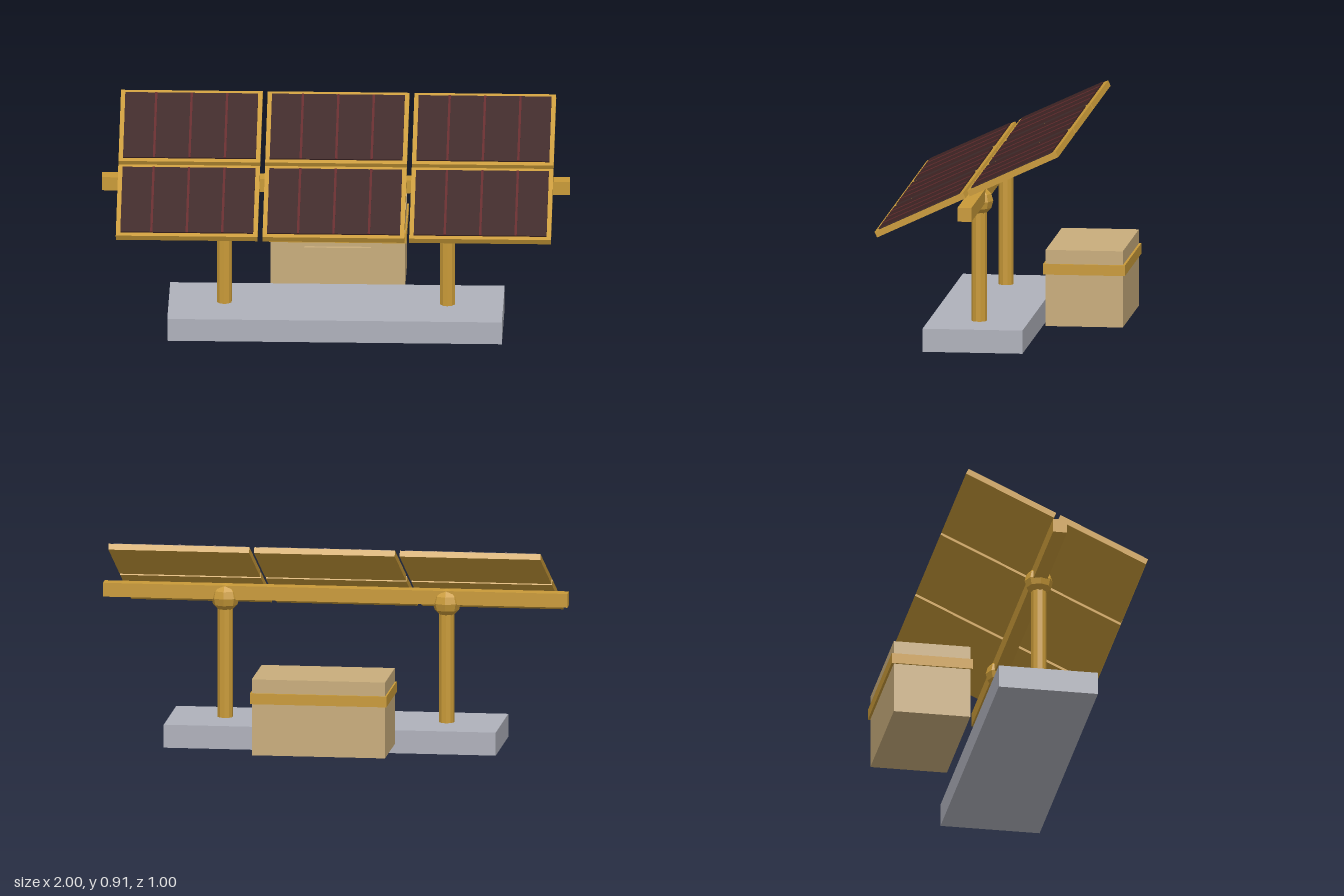
import * as THREE from 'three';

const material = (name, color, flatShading = false) => {
  const m = new THREE.MeshStandardMaterial({ color, flatShading });
  m.name = name;
  return m;
};

export function createModel() {
  const gold = material('gold metal', 0xc99a38, true);
  const tan = material('tan casing', 0xc9ad7c);
  const concrete = material('grey concrete', 0xafb1bb);
  const cell = material('dark solar cell', 0x3c2323);
  const line = material('red cell line', 0x642528);

  const model = new THREE.Group();
  model.name = 'solarArray';

  const add = (parent, name, geometry, mat, x, y, z) => {
    const mesh = new THREE.Mesh(geometry, mat);
    mesh.name = name;
    mesh.position.set(x, y, z);
    parent.add(mesh);
    return mesh;
  };
  const box = (parent, name, size, mat, x, y, z) =>
    add(parent, name, new THREE.BoxGeometry(...size), mat, x, y, z);

  const axisZ = 0.105;

  // Foundation slab and the long carrying beam
  box(model, 'foundation', [1.43, 0.1, 0.43], concrete, 0, 0.05, axisZ);
  box(model, 'beam', [2, 0.06, 0.06], gold, 0, 0.645, axisZ);

  // Two posts with faceted ball joints
  for (const [side, x] of [['left', 0.477], ['right', -0.477]]) {
    add(model, side + 'Post', new THREE.CylinderGeometry(0.033, 0.033, 0.49, 10), gold, x, 0.34, axisZ);
    add(model, side + 'Joint', new THREE.SphereGeometry(0.061, 8, 6), gold, x, 0.62, axisZ);
  }

  // Tilted field of six panels, two rows of three
  const field = new THREE.Group();
  field.name = 'panelField';
  field.position.set(0, 0.721, axisZ);
  field.rotation.x = THREE.MathUtils.degToRad(25);
  model.add(field);

  for (const z of [-0.22, 0.22]) {
    for (const x of [-0.627, 0, 0.627]) {
      const panel = new THREE.Group();
      panel.name = 'panel';
      panel.position.set(x, 0, z);
      field.add(panel);
      box(panel, 'panelFrame', [0.606, 0.026, 0.42], gold, 0, 0, 0);
      box(panel, 'panelCells', [0.568, 0.01, 0.382], cell, 0, 0.014, 0);
      for (const i of [-1, 0, 1]) {
        box(panel, 'cellLine', [0.01, 0.003, 0.382], line, i * 0.1515, 0.0195, 0);
      }
    }
  }

  // Battery box behind the slab, with a band and a front plate
  const battery = new THREE.Group();
  battery.name = 'batteryBox';
  battery.position.set(0, 0, -0.324);
  model.add(battery);
  box(battery, 'batteryCasing', [0.574, 0.33, 0.332], tan, 0, 0.215, 0);
  box(battery, 'batteryBand', [0.588, 0.046, 0.352], gold, 0, 0.297, 0);
  box(battery, 'batteryPlate', [0.286, 0.074, 0.016], tan, 0, 0.216, 0.174);

  return model;
}
